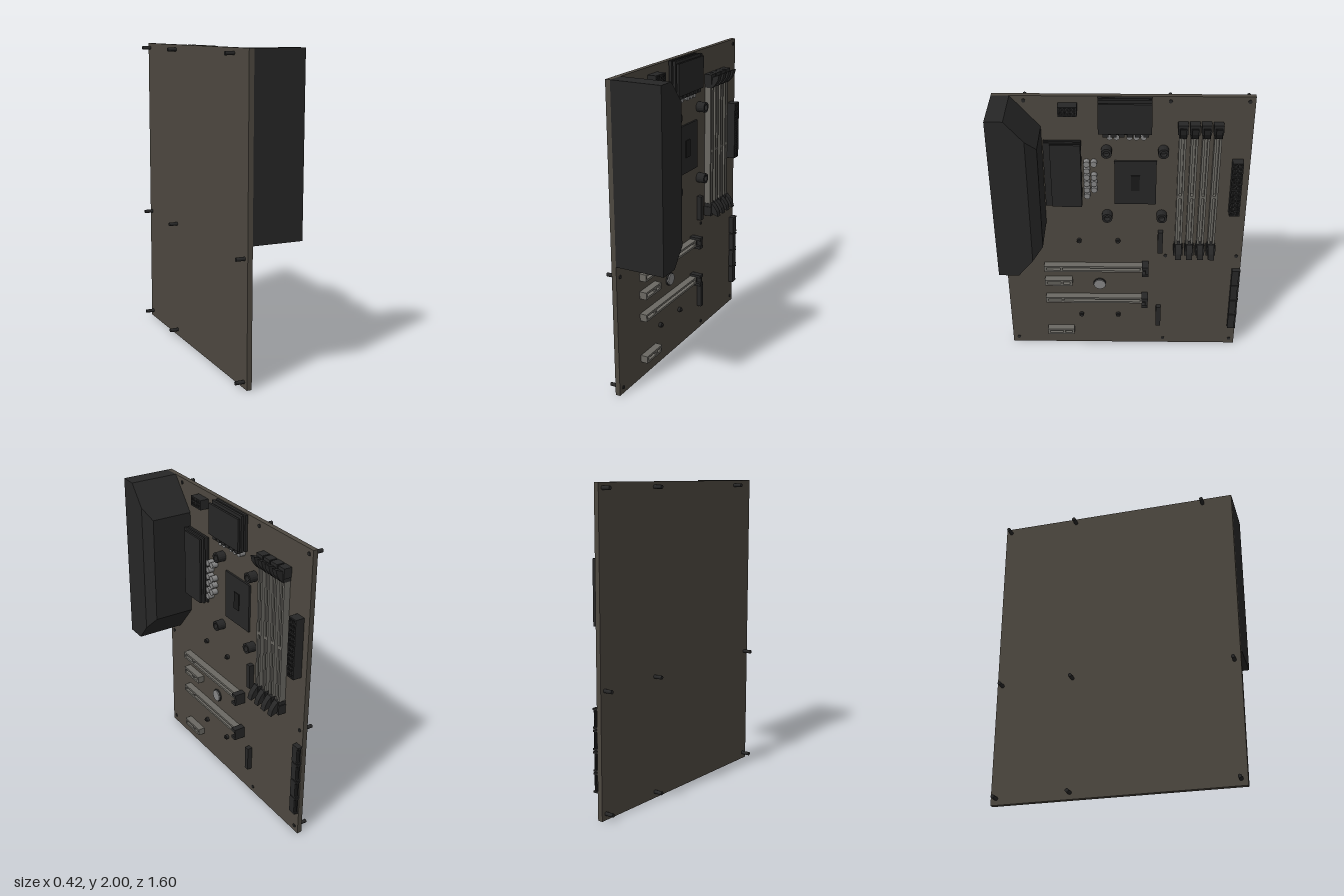
import * as THREE from 'three';
import { ConvexGeometry } from 'three/addons/geometries/ConvexGeometry.js';

const mat = (color) => new THREE.MeshStandardMaterial({ color });
const FACE = -0.118; // component side of the board

export function createModel() {
  const model = new THREE.Group();
  const boardMat = mat(0x4d4840), dark = mat(0x262626), black = mat(0x1a1a1a);
  const slotMat = mat(0x6a6862), metal = mat(0x858585);

  const group = (name) => {
    const g = new THREE.Group();
    g.name = name;
    model.add(g);
    return g;
  };
  const add = (parent, name, geo, m) => {
    const mesh = new THREE.Mesh(geo, m);
    mesh.name = name;
    parent.add(mesh);
    return mesh;
  };
  // Box given by its limits
  const box = (parent, name, [x0, x1], [y0, y1], [z0, z1], m) =>
    add(parent, name, new THREE.BoxGeometry(x1 - x0, y1 - y0, z1 - z0), m)
      .position.set((x0 + x1) / 2, (y0 + y1) / 2, (z0 + z1) / 2);
  // Cylinder standing off the board
  const peg = (parent, name, x0, x1, y, z, r, m, sides = 16) => {
    const mesh = add(parent, name, new THREE.CylinderGeometry(r, r, x1 - x0, sides), m);
    mesh.rotation.z = -Math.PI / 2;
    mesh.position.set((x0 + x1) / 2, y, z);
  };
  // Open-topped socket: floor, two long rails, two ends
  const socket = (parent, top, [y0, y1], [z0, z1], wall, end, m) => {
    box(parent, 'socketFloor', [FACE, top - 0.03], [y0, y1], [z0, z1], m);
    const x = [top - 0.03, top], alongY = y1 - y0 > z1 - z0;
    const wy = alongY ? end : wall, wz = alongY ? wall : end;
    box(parent, 'socketWall', x, [y0, y0 + wy], [z0, z1], m);
    box(parent, 'socketWall', x, [y1 - wy, y1], [z0, z1], m);
    box(parent, 'socketWall', x, [y0 + wy, y1 - wy], [z0, z0 + wz], m);
    box(parent, 'socketWall', x, [y0 + wy, y1 - wy], [z1 - wz, z1], m);
  };

  box(model, 'circuitBoard', [-0.15, FACE], [0, 2], [-0.8, 0.8], boardMat);

  // Port cover, narrowing and chamfered towards the middle of the board
  const coverPoints = [];
  for (const [z, y0, y1, x] of [[0.8, 0.875, 2, 0.208], [0.69, 0.875, 2, 0.208],
    [0.67, 0.875, 1.977, 0.208], [0.575, 0.991, 1.866, 0.208], [0.51, 1.07, 1.79, 0.16]])
    for (const y of [y0, y1]) for (const px of [FACE, x]) coverPoints.push(new THREE.Vector3(px, y, z));
  add(model, 'portCover', new ConvexGeometry(coverPoints), dark);

  // Heatsinks: stacked plates around a core
  const sideSink = group('sideHeatsink');
  box(sideSink, 'core', [FACE, -0.05], [1.26, 1.68], [0.29, 0.44], dark);
  box(sideSink, 'plate', [-0.11, -0.095], [1.236, 1.7], [0.265, 0.5], dark);
  box(sideSink, 'plate', [-0.082, -0.068], [1.236, 1.7], [0.265, 0.5], dark);
  box(sideSink, 'topPlate', [-0.053, -0.04], [1.245, 1.7], [0.266, 0.457], dark);
  const topSink = group('topHeatsink');
  box(topSink, 'core', [FACE, -0.05], [1.79, 1.98], [-0.155, 0.135], dark);
  for (const x of [-0.11, -0.082])
    box(topSink, 'plate', [x, x + 0.018], [1.765, 2], [-0.175, 0.155], dark);
  box(topSink, 'topPlate', [-0.055, -0.04], [1.78, 1.985], [-0.175, 0.155], dark);
  for (const z of [-0.14, -0.09, -0.04, 0.01, 0.06, 0.11])
    box(topSink, 'finTab', [-0.075, -0.05], [1.755, 1.785], [z - 0.018, z + 0.018], dark);

  // Capacitors beside both heatsinks
  const caps = group('capacitors');
  for (const y of [1.54, 1.49, 1.443, 1.395, 1.347, 1.3]) {
    peg(caps, 'capacitor', FACE, -0.078, y, 0.233, 0.02, metal);
    if (y !== 1.49 && y !== 1.3) peg(caps, 'capacitor', FACE, -0.078, y, 0.187, 0.02, metal);
  }
  for (const z of [0.085, 0.042, -0.037, -0.08, -0.125])
    peg(caps, 'capacitor', FACE, -0.078, 1.737, z, 0.019, metal);

  // Processor socket and cooler mounts
  const cpu = group('processorSocket');
  box(cpu, 'base', [FACE, -0.105], [1.225, 1.55], [-0.21, 0.058], dark);
  box(cpu, 'chip', [-0.105, -0.1], [1.33, 1.445], [-0.104, -0.048], black);
  const ring = new THREE.LatheGeometry(
    [[0.034, 0], [0.034, 0.058], [0.02, 0.058], [0.02, 0.02], [0, 0.02]]
      .map(([r, h]) => new THREE.Vector2(r, h)), 16);
  const ringMat = new THREE.MeshStandardMaterial({ color: 0x262626, side: THREE.DoubleSide, flatShading: true });
  for (const y of [1.14, 1.63]) for (const z of [0.106, -0.25]) {
    const mount = add(model, 'coolerMount', ring, ringMat);
    mount.rotation.z = -Math.PI / 2;
    mount.position.set(FACE, y, z);
  }

  // Memory slots with a latch at each end
  const latchShape = new THREE.Shape(
    [[-0.065, 0], [-0.065, 0.07], [-0.045, 0.08], [-0.015, 0.09], [-0.025, 0.05], [-0.045, 0.02]]
      .map(([x, y]) => new THREE.Vector2(x, y)));
  const latchGeo = new THREE.ExtrudeGeometry(latchShape, { depth: 0.04, bevelEnabled: false });
  latchGeo.translate(0, 0, -0.02);
  for (const z of [-0.366, -0.439, -0.511, -0.584]) {
    const slot = group('memorySlot');
    socket(slot, -0.075, [0.9, 1.77], [z - 0.023, z + 0.023], 0.015, 0.02, slotMat);
    box(slot, 'key', [-0.105, -0.075], [1.29, 1.31], [z - 0.01, z + 0.01], slotMat);
    for (const s of [1, -1]) {
      const end = new THREE.Group();
      end.name = 'latchEnd';
      end.position.set(0, s > 0 ? 1.74 : 0.928, z);
      if (s < 0) end.rotation.x = Math.PI;
      slot.add(end);
      box(end, 'housing', [FACE, -0.065], [0.025, 0.09], [-0.031, 0.031], dark);
      box(end, 'neck', [FACE, -0.065], [0, 0.025], [-0.025, 0.025], dark);
      add(end, 'latch', latchGeo, dark);
    }
  }

  // Power connectors with a grid of sockets
  const power = (name, [y0, y1], [z0, z1], rows, cols) => {
    const g = group(name);
    box(g, 'housing', [FACE, -0.066], [y0, y1], [z0, z1], dark);
    const dy = (y1 - y0) / rows, dz = (z1 - z0) / cols;
    for (let i = 0; i <= rows; i++) {
      const y = y0 + 0.004 + (i / rows) * (y1 - y0 - 0.008);
      box(g, 'rib', [-0.066, -0.058], [y - 0.004, y + 0.004], [z0, z1], dark);
    }
    for (let j = 0; j <= cols; j++) {
      const z = z0 + 0.004 + (j / cols) * (z1 - z0 - 0.008);
      box(g, 'rib', [-0.066, -0.058], [y0, y1], [z - 0.004, z + 0.004], dark);
    }
    for (let i = 0; i < rows; i++) for (let j = 0; j < cols; j++) {
      const y = y0 + (i + 0.5) * dy, z = z0 + (j + 0.5) * dz;
      box(g, 'pin', [-0.066, -0.06], [y - 0.005, y + 0.005], [z - 0.005, z + 0.005], black);
    }
  };
  power('mainPowerConnector', [1.167, 1.565], [-0.753, -0.685], 12, 2);
  power('processorPowerConnector', [1.89, 1.955], [0.282, 0.398], 2, 4);

  // Drive ports on the edge
  for (const y of [0.17, 0.301, 0.433, 0.565]) {
    const port = group('drivePort');
    box(port, 'body', [FACE, -0.085], [y, y + 0.125], [-0.79, -0.743], dark);
    for (const [a, b] of [[0, 0.012], [0.113, 0.125]])
      box(port, 'cheek', [FACE, -0.085], [y + a, y + b], [-0.8, -0.79], dark);
    box(port, 'tongue', [-0.105, -0.097], [y + 0.012, y + 0.113], [-0.8, -0.79], dark);
  }

  // Expansion slots, long ones with a retention clip
  for (const [y, z0] of [[0.708, -0.13], [0.585, 0.352], [0.432, -0.13], [0.136, 0.352]]) {
    const slot = group('expansionSlot');
    socket(slot, -0.07, [y - 0.024, y + 0.024], [z0, 0.54], 0.014, 0.015, slotMat);
    box(slot, 'key', [-0.1, -0.07], [y - 0.01, y + 0.01], [0.415, 0.43], slotMat);
    if (z0 < 0) {
      box(slot, 'clipBase', [FACE, -0.075], [y - 0.04, y + 0.04], [-0.17, -0.127], dark);
      for (const s of [-1, 1])
        box(slot, 'clipArm', [-0.075, -0.04], [y + s * 0.03 - 0.01, y + s * 0.03 + 0.01], [-0.17, -0.127], dark);
      box(slot, 'clipBack', [-0.075, -0.045], [y - 0.02, y + 0.02], [-0.17, -0.15], dark);
    }
  }

  // Storage card connectors and their standoffs
  for (const y of [0.186, 0.838]) {
    box(model, 'cardConnector', [FACE, -0.085], [y, y + 0.17], [-0.263, -0.229], dark);
    for (const z of [0.037, 0.297]) {
      peg(model, 'cardStandoff', FACE, -0.1, y + 0.085, z, 0.016, dark);
      peg(model, 'cardStandoffTip', -0.1, -0.092, y + 0.085, z, 0.009, dark);
    }
  }

  peg(model, 'batteryHolder', FACE, -0.108, 0.55, 0.164, 0.044, dark, 32);
  peg(model, 'battery', -0.108, -0.1, 0.55, 0.164, 0.039, metal, 32);

  // Mounting screws through the board
  for (const y of [0.042, 0.796, 1.968]) for (const z of [y > 1 ? 0.605 : 0.76, -0.285, -0.765])
    peg(model, 'mountingScrew', -0.208, -0.113, y, z, 0.012, dark);

  return model;
}
